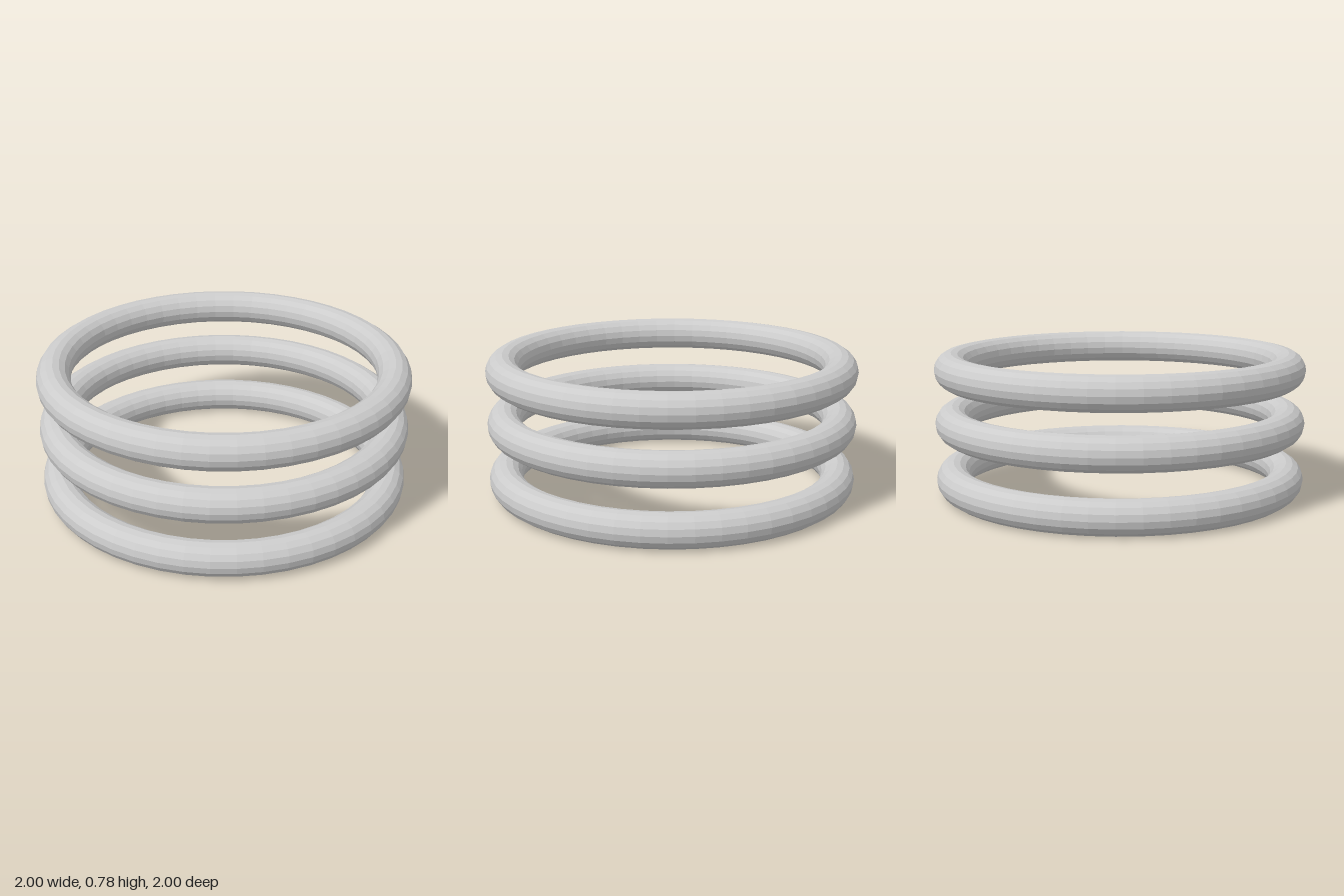
import * as THREE from 'three';

export function createModel() {
  const group = new THREE.Group();
  const material = new THREE.MeshStandardMaterial({ color: 0xcccccc, flatShading: true });

  // One round-section ring, laid flat
  const tubeRadius = 0.091;
  const ringGeometry = new THREE.TorusGeometry(1 - tubeRadius, tubeRadius, 16, 48);
  ringGeometry.rotateX(-Math.PI / 2);

  // Three separate rings stacked with gaps
  const rings = [
    ['bottomRing', tubeRadius],
    ['middleRing', 0.398],
    ['topRing', 0.686],
  ];
  for (const [name, y] of rings) {
    const ring = new THREE.Mesh(ringGeometry, material);
    ring.name = name;
    ring.position.y = y;
    group.add(ring);
  }
  return group;
}
